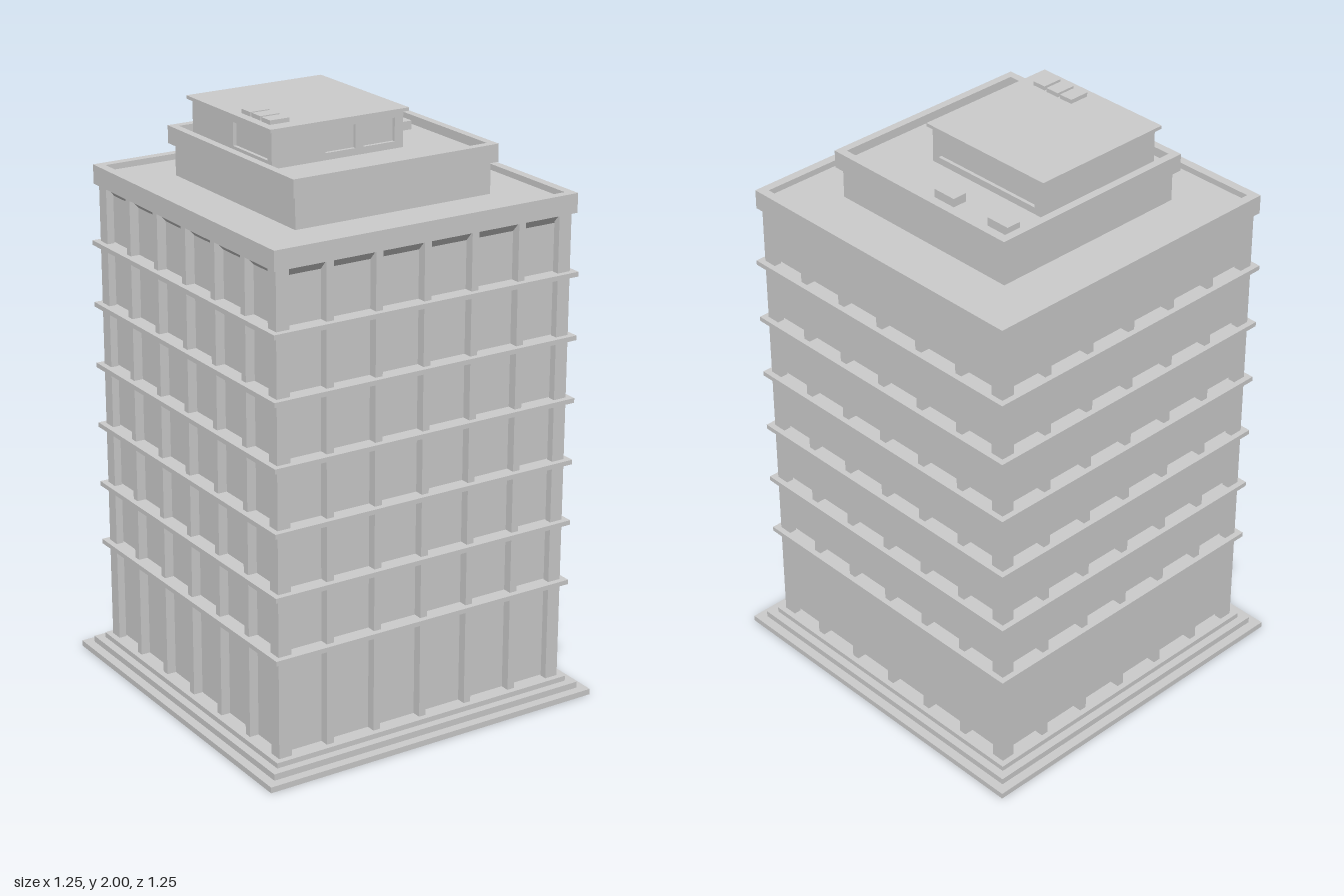
import * as THREE from 'three';

const material = new THREE.MeshStandardMaterial({ color: 0xcccccc, flatShading: true });

// Box given by its limits on each axis
function box(name, x0, x1, y0, y1, z0, z1) {
  const mesh = new THREE.Mesh(new THREE.BoxGeometry(x1 - x0, y1 - y0, z1 - z0), material);
  mesh.position.set((x0 + x1) / 2, (y0 + y1) / 2, (z0 + z1) / 2);
  mesh.name = name;
  return mesh;
}

// Square slab centred on the tower axis
const slab = (name, half, y0, y1) => box(name, -half, half, y0, y1, -half, half);

function rectangle(PathType, x0, x1, y0, y1) {
  return new PathType([[x0, y0], [x1, y0], [x1, y1], [x0, y1]].map(p => new THREE.Vector2(...p)));
}

// Rectangular plate with rectangular holes, extruded along z
function plate(name, outline, holes, depth) {
  const shape = rectangle(THREE.Shape, ...outline);
  for (const hole of holes) shape.holes.push(rectangle(THREE.Path, ...hole));
  const mesh = new THREE.Mesh(new THREE.ExtrudeGeometry(shape, { depth, bevelEnabled: false }), material);
  mesh.name = name;
  return mesh;
}

// Square parapet ring
function parapet(name, outer, inner, y0, y1) {
  const ring = plate(name, [-outer, outer, -outer, outer], [[-inner, inner, -inner, inner]], y1 - y0);
  ring.rotation.x = -Math.PI / 2;
  ring.position.y = y0;
  return ring;
}

function createTower() {
  const tower = new THREE.Group();
  tower.name = 'tower';
  const wall = 0.515;

  // Stepped plinth
  tower.add(
    slab('plinthLower', 0.627, 0, 0.02),
    slab('plinthMiddle', 0.595, 0.02, 0.042),
    slab('plinthUpper', 0.567, 0.042, 0.06),
    slab('walls', wall, 0.06, 1.675)
  );

  // Floor ledges
  for (let i = 0; i < 6; i++) {
    const y = 0.405 + i * 0.2137;
    tower.add(slab('floorLedge', 0.567, y - 0.008, y + 0.008));
  }

  // Seven pilasters on each face
  for (let side = 0; side < 4; side++) {
    const face = new THREE.Group();
    face.name = 'pilasters';
    face.rotation.y = side * Math.PI / 2;
    for (let i = -3; i <= 3; i++) {
      const x = i * 0.178;
      face.add(box('pilaster', x - 0.013, x + 0.013, 0.06, 1.675, 0.5, 0.547));
    }
    tower.add(face);
  }

  // Sloped soffit under the cornice
  const soffit = new THREE.Mesh(
    new THREE.CylinderGeometry(0.547 * Math.SQRT2, wall * Math.SQRT2, 0.035, 4, 1, true).rotateY(Math.PI / 4),
    material
  );
  soffit.position.y = 1.6575;
  soffit.name = 'soffit';
  tower.add(soffit);

  // Main roof
  tower.add(
    slab('mainRoofDeck', 0.53, 1.675, 1.72),
    parapet('mainParapet', 0.56, 0.53, 1.675, 1.74)
  );
  return tower;
}

function createPenthouse() {
  const penthouse = new THREE.Group();
  penthouse.name = 'penthouse';
  penthouse.add(
    slab('penthouseWalls', 0.363, 1.72, 1.826),
    slab('penthouseDeck', 0.353, 1.826, 1.855),
    parapet('penthouseParapet', 0.38, 0.353, 1.826, 1.885)
  );
  // Low vents on the deck
  for (const z of [-0.285, -0.05]) {
    penthouse.add(box('deckVent', 0.265, 0.315, 1.855, 1.884, z - 0.043, z + 0.043));
  }
  return penthouse;
}

function createRoofRoom() {
  const room = new THREE.Group();
  room.name = 'roofRoom';
  const [x0, x1, z0, z1, y0, y1, t] = [-0.32, 0.167, -0.322, 0.16, 1.855, 1.975, 0.012];
  const sill = 1.878, head = 1.955;

  room.add(box('roofRoomCore', x0 + t, x1 - t, y0, y1, z0, z1 - t));

  // Front wall with two windows
  const front = plate('roofRoomFront', [x0, x1, y0, y1],
    [[-0.124, -0.013, sill, head], [0.018, 0.135, sill, head]], t);
  front.position.z = z1 - t;

  // Wide opening on the left wall, x of the plate runs along -z
  const left = plate('roofRoomLeft', [-z1, -z0, y0, y1], [[-0.135, 0.29, sill, head]], t);
  left.rotation.y = Math.PI / 2;
  left.position.x = x1 - t;

  // Smaller opening on the right wall, x of the plate runs along +z
  const right = plate('roofRoomRight', [z0, z1, y0, y1], [[-0.07, 0.135, sill, head]], t);
  right.rotation.y = -Math.PI / 2;
  right.position.x = x0 + t;

  room.add(front, left, right, box('roofRoomRoof', -0.333, 0.178, y1, 1.986, -0.338, 0.176));

  // Row of roof units
  [[-0.302, -0.021], [-0.302, 0.039], [-0.304, 0.1]].forEach(([x, z]) => {
    room.add(box('roofUnit', x, x + 0.071, 1.986, 2, z - 0.025, z + 0.025));
  });
  return room;
}

export function createModel() {
  const model = new THREE.Group();
  model.name = 'officeTower';
  model.add(createTower(), createPenthouse(), createRoofRoom());
  return model;
}
